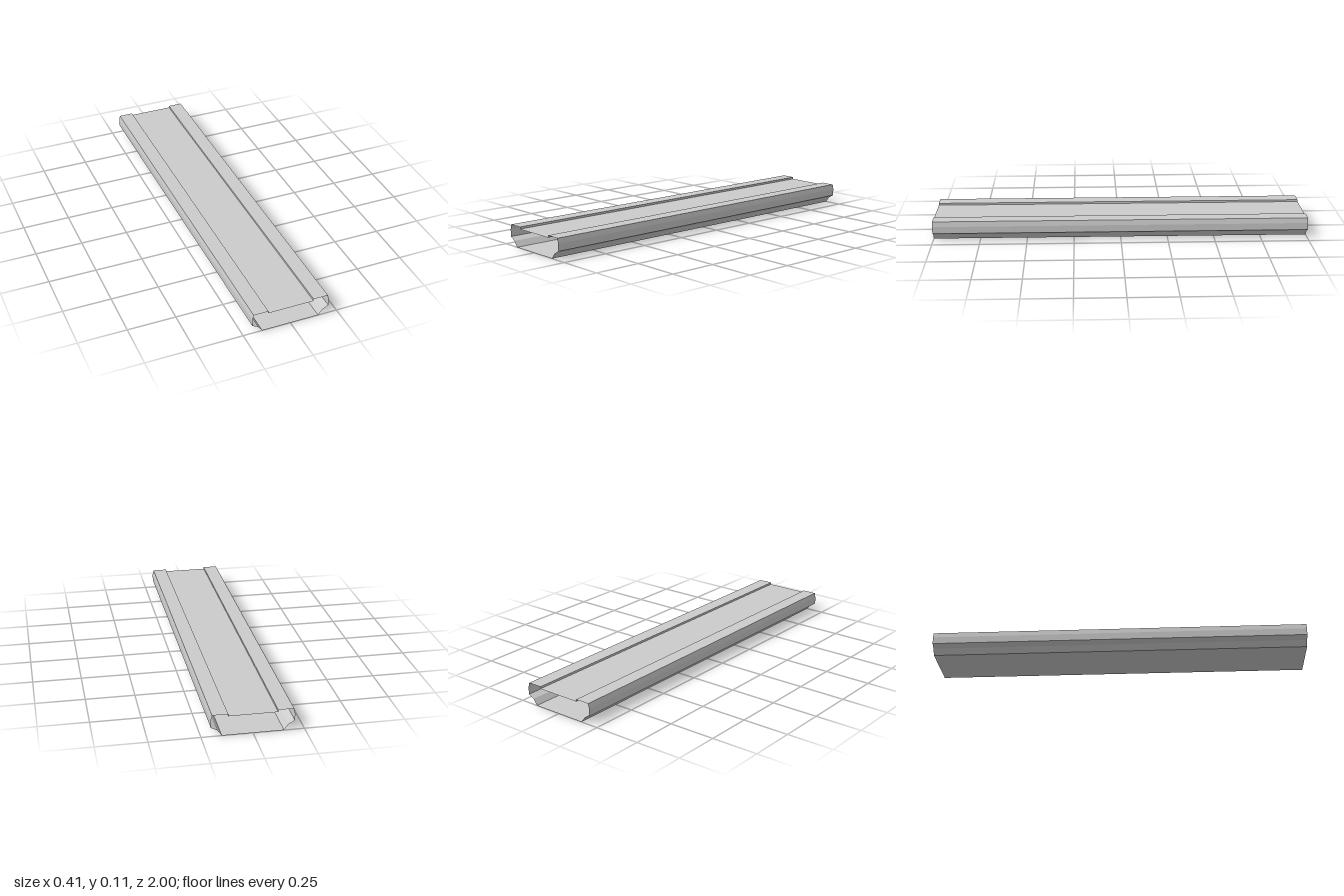
import * as THREE from 'three';

const HALF_LENGTH = 1;
const material = new THREE.MeshStandardMaterial({ color: 0xcccccc, flatShading: true, side: THREE.DoubleSide });

// Thin sheet: an open profile of [x, y] points swept along z (counter-clockwise = outward)
function sheet(name, profile) {
  const positions = [];
  for (let i = 0; i < profile.length - 1; i++) {
    const [ax, ay] = profile[i];
    const [bx, by] = profile[i + 1];
    const L = HALF_LENGTH;
    positions.push(ax, ay, L, ax, ay, -L, bx, by, L);
    positions.push(bx, by, L, ax, ay, -L, bx, by, -L);
  }
  const geometry = new THREE.BufferGeometry();
  geometry.setAttribute('position', new THREE.Float32BufferAttribute(positions, 3));
  geometry.computeVertexNormals();
  const mesh = new THREE.Mesh(geometry, material);
  mesh.name = name;
  return mesh;
}

// Mirror a profile across x = 0, keeping its outward direction
const mirror = (profile) => profile.map(([x, y]) => [-x, y]).reverse();

export function createModel() {
  const group = new THREE.Group();
  group.name = 'hollowChannel';

  const side = [[0.15, 0], [0.172, 0.03], [0.203, 0.046], [0.203, 0.083], [0.197, 0.11]];
  const lip = [[0.197, 0.11], [0.12, 0.11], [0.12, 0.099]];

  // Flat underside and recessed top panel
  group.add(sheet('bottomPanel', [[-0.15, 0], [0.15, 0]]));
  group.add(sheet('topPanel', [[0.12, 0.099], [-0.12, 0.099]]));

  // Folded side walls and raised lips, mirrored left and right
  group.add(sheet('leftSide', side), sheet('rightSide', mirror(side)));
  group.add(sheet('leftLip', lip), sheet('rightLip', mirror(lip)));

  return group;
}
